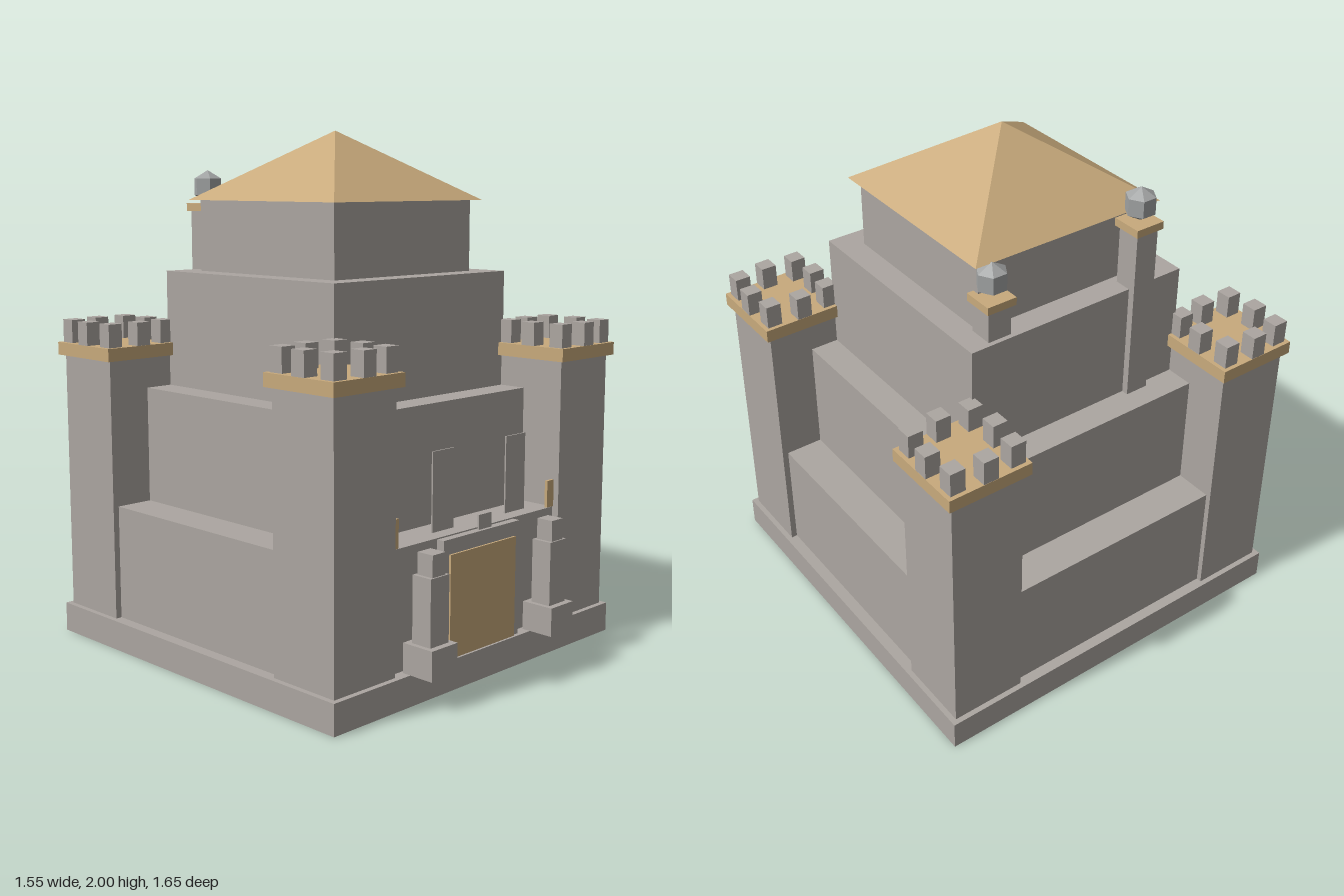
import * as THREE from 'three';

const mat = (name, color) => {
  const m = new THREE.MeshStandardMaterial({ color });
  m.name = name;
  return m;
};

export function createModel() {
  const stone = mat('stone', 0xaca6a1);
  const tan = mat('tan', 0xc8aa7c);
  const orbStone = mat('orbStone', 0xa3a5a5);
  const model = new THREE.Group();
  model.name = 'castle';

  const add = (name, geo, material, x, y, z, parent = model) => {
    const mesh = new THREE.Mesh(geo, material);
    mesh.name = name;
    mesh.position.set(x, y, z);
    parent.add(mesh);
    return mesh;
  };
  // Box given by its limits on each axis
  const box = (name, material, x0, x1, y0, y1, z0, z1, parent) =>
    add(name, new THREE.BoxGeometry(x1 - x0, y1 - y0, z1 - z0), material,
      (x0 + x1) / 2, (y0 + y1) / 2, (z0 + z1) / 2, parent);
  const group = (name, x, y, z) => {
    const g = new THREE.Group();
    g.name = name;
    g.position.set(x, y, z);
    model.add(g);
    return g;
  };

  // Base slab and stepped tiers
  const cz = -0.053;
  box('base', stone, -0.775, 0.775, 0, 0.115, -0.825, 0.725);
  const tiers = [
    ['lowerTier', 0.73, 0.115, 0.56],
    ['middleTier', 0.58, 0.56, 1.01],
    ['upperTier', 0.467, 1.01, 1.46],
    ['topRoom', 0.37, 1.46, 1.735],
  ];
  for (const [name, h, y0, y1] of tiers) box(name, stone, -h, h, y0, y1, cz - h, cz + h);

  // Pyramid roof
  const roof = new THREE.ConeGeometry(0.403 * Math.SQRT2, 0.265, 4, 1).toNonIndexed();
  roof.rotateY(Math.PI / 4);
  roof.computeVertexNormals();
  add('roof', roof, tan, 0, 1.8675, cz);

  // Corner towers with battlements
  for (const sx of [-1, 1]) for (const sz of [-1, 1]) {
    const t = group('tower', sx * 0.607, 0, cz + sz * 0.607 + 0.003);
    box('towerShaft', stone, -0.147, 0.147, 0.115, 1.13, -0.147, 0.147, t);
    box('towerCap', tan, -0.168, 0.168, 1.13, 1.18, -0.168, 0.168, t);
    for (let i = -1; i <= 1; i++) for (let j = -1; j <= 1; j++) {
      if (!i && !j) continue;
      const r = i && j ? 0.122 : 0.137;
      const h = 0.03;
      box('merlon', stone, i * r - h, i * r + h, 1.18, 1.27, j * r - h, j * r + h, t);
    }
  }

  // Rear pillars, each with a cap and a faceted orb
  const pillar = (x, z, y0, y1) => {
    const p = group('pillar', x, 0, z);
    box('pillarShaft', stone, -0.047, 0.047, y0, y1, -0.047, 0.047, p);
    box('pillarCap', tan, -0.06, 0.06, y1, y1 + 0.03, -0.06, 0.06, p);
    const orb = new THREE.SphereGeometry(0.065, 6, 3).toNonIndexed();
    orb.computeVertexNormals();
    add('orb', orb, orbStone, 0, y1 + 0.095, 0, p);
  };
  pillar(-0.27, -0.5, 1.01, 1.69);
  pillar(0.337, -0.455, 1.46, 1.58);

  // Doorway
  box('doorFrame', stone, -0.215, 0.215, 0.115, 0.555, 0.67, 0.708);
  box('door', tan, -0.185, 0.185, 0.115, 0.5, 0.708, 0.716);
  box('keystone', stone, -0.035, 0.035, 0.565, 0.62, 0.711, 0.719);

  for (const s of [-1, 1]) {
    // Upright slabs and small brackets above the doorway
    add('windowSlab', new THREE.BoxGeometry(0.113, 0.29, 0.006), stone, s * 0.203, 0.735, 0.69);
    add('bracket', new THREE.BoxGeometry(0.05, 0.105, 0.012), tan, s * 0.445, 0.615, 0.675);

    // Guardian statues on pedestals
    const g = group('guardian', s * 0.337, 0, 0.757);
    box('pedestal', stone, -0.067, 0.067, 0.115, 0.225, -0.067, 0.067, g);
    box('guardianBody', stone, -0.048, 0.048, 0.225, 0.47, -0.042, 0.042, g);
    box('guardianHead', stone, -0.033, 0.033, 0.47, 0.55, -0.033, 0.036, g);
  }

  return model;
}
